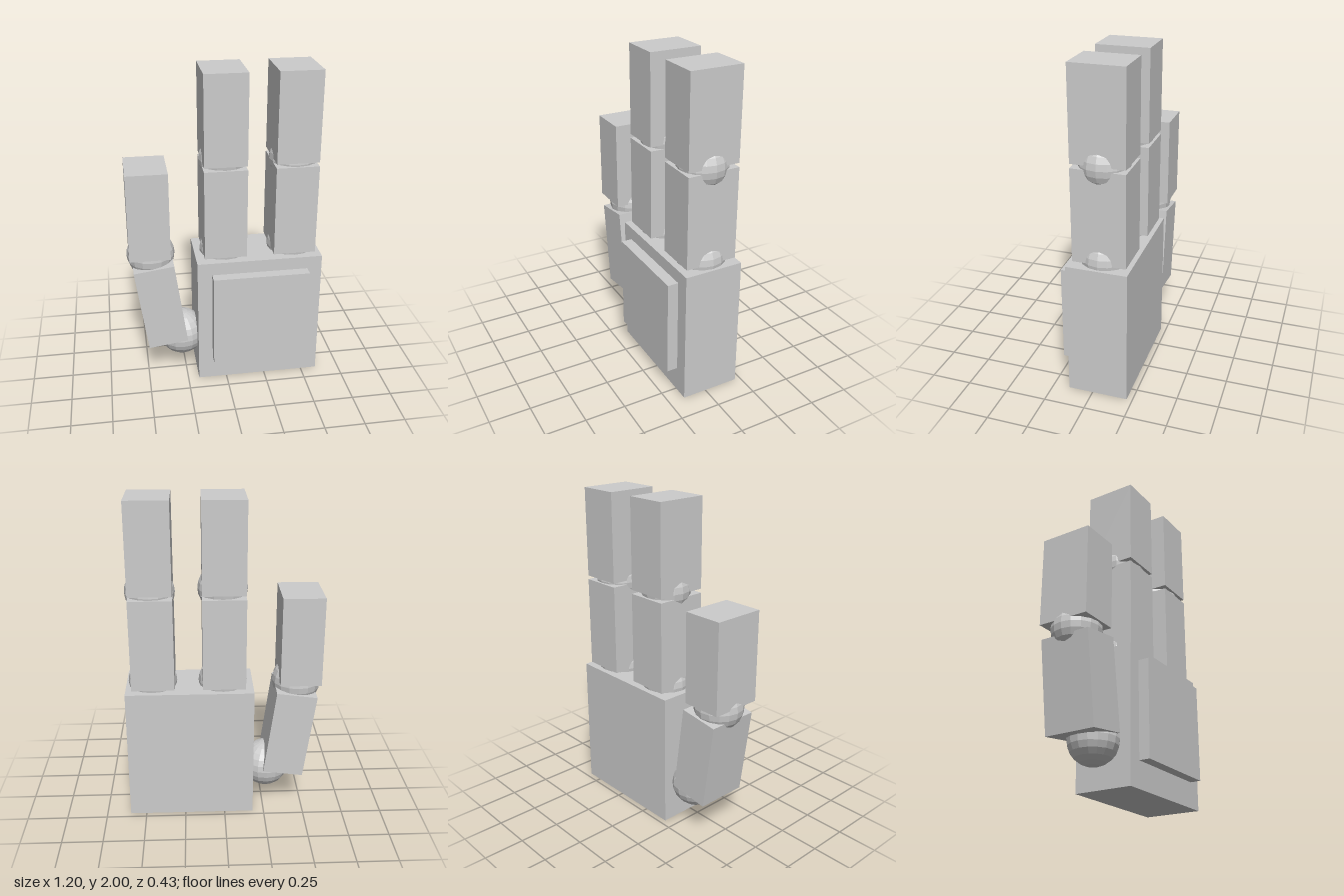
import * as THREE from 'three';

export function createModel() {
  const hand = new THREE.Group();
  hand.name = 'blockHand';
  const material = new THREE.MeshStandardMaterial({ color: 0xcccccc, flatShading: true });
  const fingerZ = -0.037;

  const add = (name, geometry, x, y, z, tilt = 0) => {
    const mesh = new THREE.Mesh(geometry, material);
    mesh.name = name;
    mesh.position.set(x, y, z);
    mesh.rotation.z = tilt;
    hand.add(mesh);
  };

  // Palm and its raised front plate
  add('palm', new THREE.BoxGeometry(0.78, 0.84, 0.365), 0.21, 0.42, -0.033);
  add('palmPlate', new THREE.BoxGeometry(0.6, 0.6, 0.067), 0.21, 0.46, 0.183);

  // Finger segments and ball joints
  const segment = new THREE.BoxGeometry(0.257, 0.55, 0.32);
  const joint = new THREE.SphereGeometry(0.15, 16, 12);

  // Two straight fingers: segment centre x, ball centre x, knuckle ball y
  for (const [name, x, ballX, knuckleY] of [
    ['innerFinger', 0, 0.005, 1.455],
    ['outerFinger', 0.43, 0.437, 1.435],
  ]) {
    add(name + 'BaseJoint', joint, ballX, 0.86, fingerZ);
    add(name + 'LowerSegment', new THREE.BoxGeometry(0.26, 0.565, 0.32), x, 1.143, fingerZ);
    add(name + 'Knuckle', joint, ballX, knuckleY, fingerZ);
    add(name + 'UpperSegment', segment, x, 1.725, fingerZ);
  }

  // Thumb: lower segment leans outward, upper stands upright
  add('thumbBaseJoint', joint, -0.27, 0.26, fingerZ);
  add('thumbLowerSegment', new THREE.BoxGeometry(0.25, 0.55, 0.32), -0.406, 0.536, fingerZ, 0.135);
  add('thumbKnuckle', joint, -0.452, 0.85, fingerZ);
  add('thumbUpperSegment', new THREE.BoxGeometry(0.25, 0.555, 0.32), -0.463, 1.152, fingerZ);

  return hand;
}
